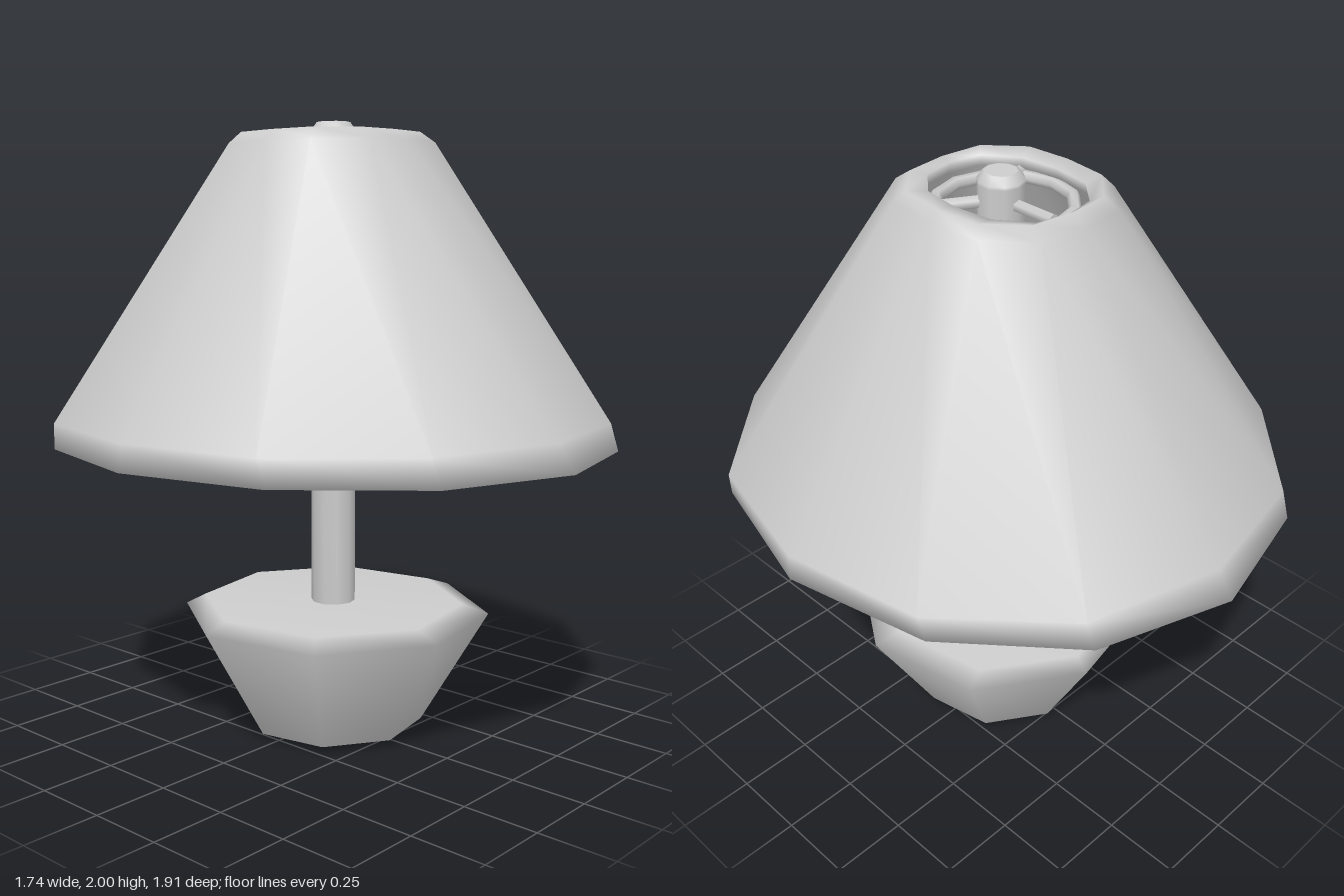
import * as THREE from 'three';

// Smooth loft through elliptical rings [y, rx, rz, zShift, bulge]; bulge widens a ring on its diagonals.
// wrap joins the last ring to the first, otherwise the ends are capped
function loft(rings, sides, phase, wrap) {
  const pos = [], idx = [], n = rings.length;
  for (const [y, rx, rz, dz = 0, bulge = 0] of rings) {
    for (let j = 0; j < sides; j++) {
      const t = phase + (j / sides) * Math.PI * 2;
      const s = 1 + bulge * Math.sin(2 * t) ** 2;
      pos.push(Math.sin(t) * rx * s, y, Math.cos(t) * rz * s + dz);
    }
  }
  for (let i = 0; i < (wrap ? n : n - 1); i++) {
    const lo = i * sides, hi = ((i + 1) % n) * sides;
    for (let j = 0; j < sides; j++) {
      const k = (j + 1) % sides;
      idx.push(lo + j, lo + k, hi + j, lo + k, hi + k, hi + j);
    }
  }
  if (!wrap) {
    const bottom = pos.length / 3, top = bottom + 1, last = (n - 1) * sides;
    pos.push(0, rings[0][0], rings[0][3] ?? 0, 0, rings[n - 1][0], rings[n - 1][3] ?? 0);
    for (let j = 0; j < sides; j++) {
      const k = (j + 1) % sides;
      idx.push(bottom, k, j, top, last + j, last + k);
    }
  }
  const g = new THREE.BufferGeometry();
  g.setAttribute('position', new THREE.Float32BufferAttribute(pos, 3));
  g.setIndex(idx);
  g.computeVertexNormals();
  return g;
}

export function createModel() {
  const group = new THREE.Group();
  group.name = 'tableLamp';
  const grey = new THREE.MeshStandardMaterial({ color: 0xcccccc });
  grey.name = 'lightGrey';
  const poleZ = 0.015;

  const add = (name, geometry) => {
    const mesh = new THREE.Mesh(geometry, grey);
    mesh.name = name;
    group.add(mesh);
    return mesh;
  };

  // Eight-sided bevelled base
  add('base', loft([
    [0, 0.22, 0.22, 0.02], [0.025, 0.295, 0.295, 0.02],
    [0.4, 0.512, 0.512, 0.025], [0.43, 0.43, 0.44, 0.01],
  ], 8, 0.6, false));

  // Pole with a chamfered, flat tip
  const pole = add('pole', loft([
    [0.4, 0.073, 0.073], [1.965, 0.073, 0.073], [1.975, 0.073, 0.073],
    [2, 0.054, 0.054], [2, 0.048, 0.048],
  ], 10, 0, false));
  pole.position.z = poleZ;

  // Thick twelve-sided shade, open at both ends: outer wall up, inner wall down
  add('shade', loft([
    [0.96, 0.785, 0.86], [0.975, 0.87, 0.955], [1.06, 0.865, 0.9, 0, 0.03],
    [1.93, 0.285, 0.325, 0, 0.13], [1.965, 0.26, 0.275, 0, 0.12],
    [1.955, 0.2, 0.25, -0.01, 0.08], [1.92, 0.21, 0.255, -0.01, 0.08], [1.03, 0.755, 0.82],
  ], 12, -0.03, true));

  // Ring and three spokes holding the shade
  const ring = add('shadeRing', new THREE.TorusGeometry(0.21, 0.02, 6, 12));
  ring.rotation.x = Math.PI / 2;
  ring.position.y = 1.9;

  for (let i = 0; i < 3; i++) {
    const g = new THREE.CylinderGeometry(0.02, 0.02, 0.17, 6);
    g.rotateX(Math.PI / 2);
    g.translate(0, 0, 0.125);
    const spoke = add('spoke' + (i + 1), g);
    spoke.rotation.y = Math.PI + (i * Math.PI * 2) / 3;
    spoke.position.set(0, 1.91, poleZ);
  }
  return group;
}
